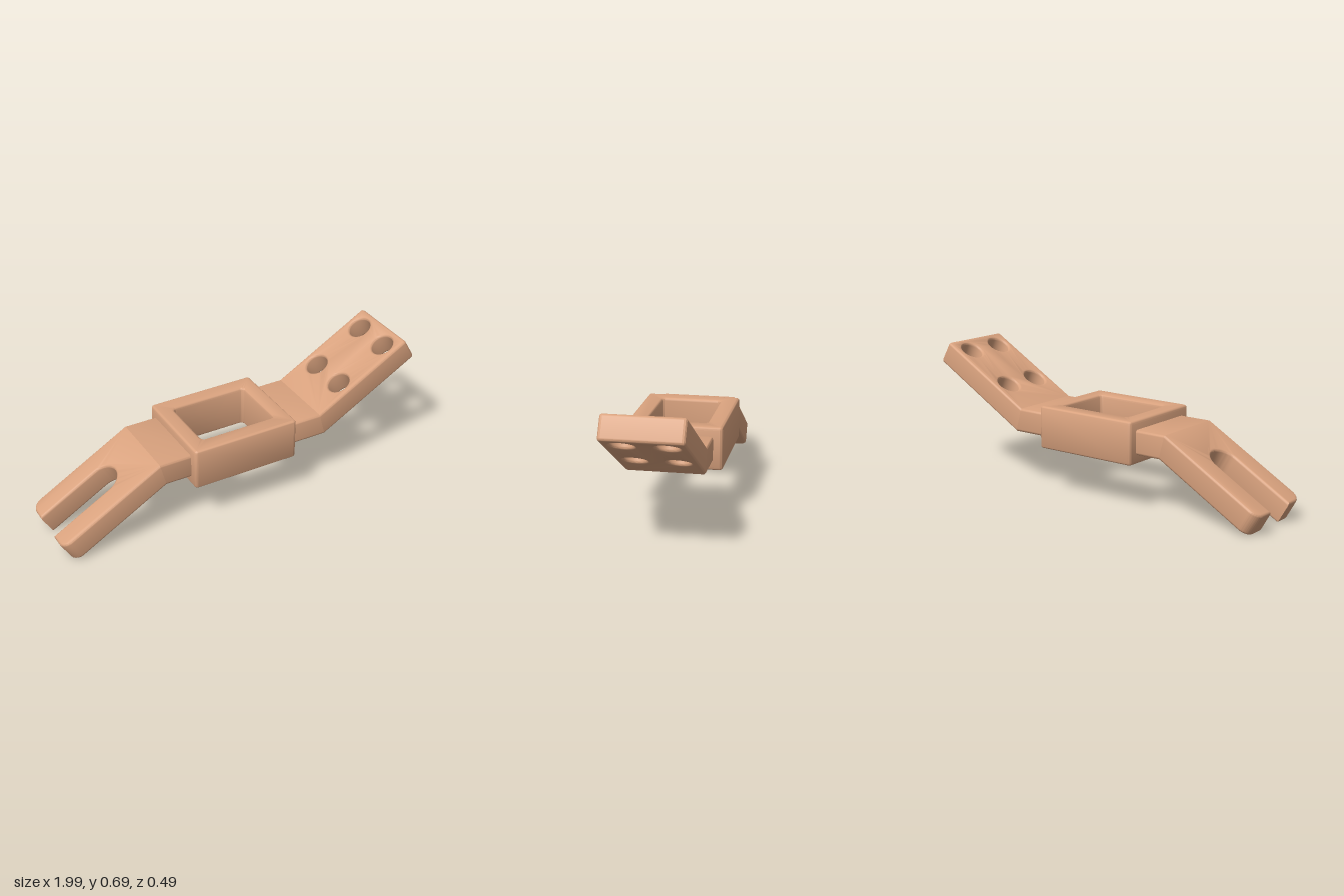
import * as THREE from 'three';
import { toCreasedNormals } from 'three/addons/utils/BufferGeometryUtils.js';

const THICK = 0.125, HALF_W = 0.197, BEND = Math.PI / 6, MITRE = Math.tan(BEND / 2);
const material = new THREE.MeshStandardMaterial({ color: 0xd9a27e });

// Rectangle with rounded corners, drawn into a Shape or Path
function roundedRect(path, x0, x1, h, r) {
  path.moveTo(x0 + r, -h);
  path.lineTo(x1 - r, -h);
  path.absarc(x1 - r, -h + r, r, -Math.PI / 2, 0);
  path.lineTo(x1, h - r);
  path.absarc(x1 - r, h - r, r, 0, Math.PI / 2);
  path.lineTo(x0 + r, h);
  path.absarc(x0 + r, h - r, r, Math.PI / 2, Math.PI);
  path.lineTo(x0, -h + r);
  path.absarc(x0 + r, -h + r, r, Math.PI, Math.PI * 1.5);
  return path;
}

// Plan outline extruded upwards with filleted edges, centred on y = 0
function plate(shape, height, bevel) {
  const geo = new THREE.ExtrudeGeometry(shape, {
    depth: height - 2 * bevel, bevelThickness: bevel, bevelSize: bevel,
    bevelOffset: -bevel, bevelSegments: 4, curveSegments: 16,
  });
  geo.translate(0, 0, bevel - height / 2);
  geo.rotateX(-Math.PI / 2);
  return geo;
}

// Press everything beyond the slanted bend plane x = k * y onto that plane
function mitre(geo, k, keepPositive) {
  const p = geo.attributes.position;
  for (let i = 0; i < p.count; i++) {
    const limit = k * p.getY(i);
    p.setX(i, keepPositive ? Math.max(p.getX(i), limit) : Math.min(p.getX(i), limit));
  }
  return geo;
}

function mesh(geo, name) {
  const m = new THREE.Mesh(toCreasedNormals(geo, 0.6), material);
  m.name = name;
  return m;
}

// Arm: level root running into the frame, then a plate tilted at the bend
function makeArm(name, side, bendX, rootLength, tipShape) {
  const arm = new THREE.Group();
  arm.name = name;
  arm.position.set(bendX, 0.35, 0);
  const ends = [-side * rootLength, side * 0.1].sort((a, b) => a - b);
  const rootShape = roundedRect(new THREE.Shape(), ends[0], ends[1], HALF_W, 0.016);
  arm.add(mesh(mitre(plate(rootShape, THICK, 0.014), -MITRE, side < 0), name + 'Root'));
  const tip = mesh(mitre(plate(tipShape, THICK, 0.014), MITRE, side > 0), name + 'Plate');
  tip.rotation.z = BEND;
  arm.add(tip);
  return arm;
}

export function createModel() {
  const model = new THREE.Group();
  model.name = 'bentBracket';

  // Central frame with a rectangular window
  const frameShape = roundedRect(new THREE.Shape(), -0.305, 0.267, 0.243, 0.018);
  frameShape.holes.push(roundedRect(new THREE.Path(), -0.22, 0.183, 0.153, 0.02));
  const frame = mesh(plate(frameShape, 0.218, 0.015), 'centralFrame');
  frame.position.y = 0.35;
  model.add(frame);

  // Raised arm with four bolt holes
  const boltShape = roundedRect(new THREE.Shape(), -0.1, 0.6, HALF_W, 0.016);
  for (const x of [0.208, 0.507]) {
    for (const z of [-0.103, 0.103]) {
      boltShape.holes.push(new THREE.Path().absarc(x, z, 0.058, 0, Math.PI * 2));
    }
  }
  model.add(makeArm('boltArm', 1, 0.4495, 0.21, boltShape));

  // Lowered arm with an open, round-ended slot
  const end = -0.592, r = 0.055, slot = 0.08;
  const forkShape = new THREE.Shape();
  forkShape.moveTo(0.1, -HALF_W);
  forkShape.lineTo(0.1, HALF_W);
  forkShape.lineTo(end + r, HALF_W);
  forkShape.absarc(end + r, HALF_W - r, r, Math.PI / 2, Math.PI);
  forkShape.lineTo(end, slot);
  forkShape.lineTo(-0.241, slot);
  forkShape.absarc(-0.241, 0, slot, Math.PI / 2, -Math.PI / 2, true);
  forkShape.lineTo(end, -slot);
  forkShape.lineTo(end, -HALF_W + r);
  forkShape.absarc(end + r, -HALF_W + r, r, Math.PI, Math.PI * 1.5);
  model.add(makeArm('forkArm', -1, -0.456, 0.2, forkShape));

  return model;
}
